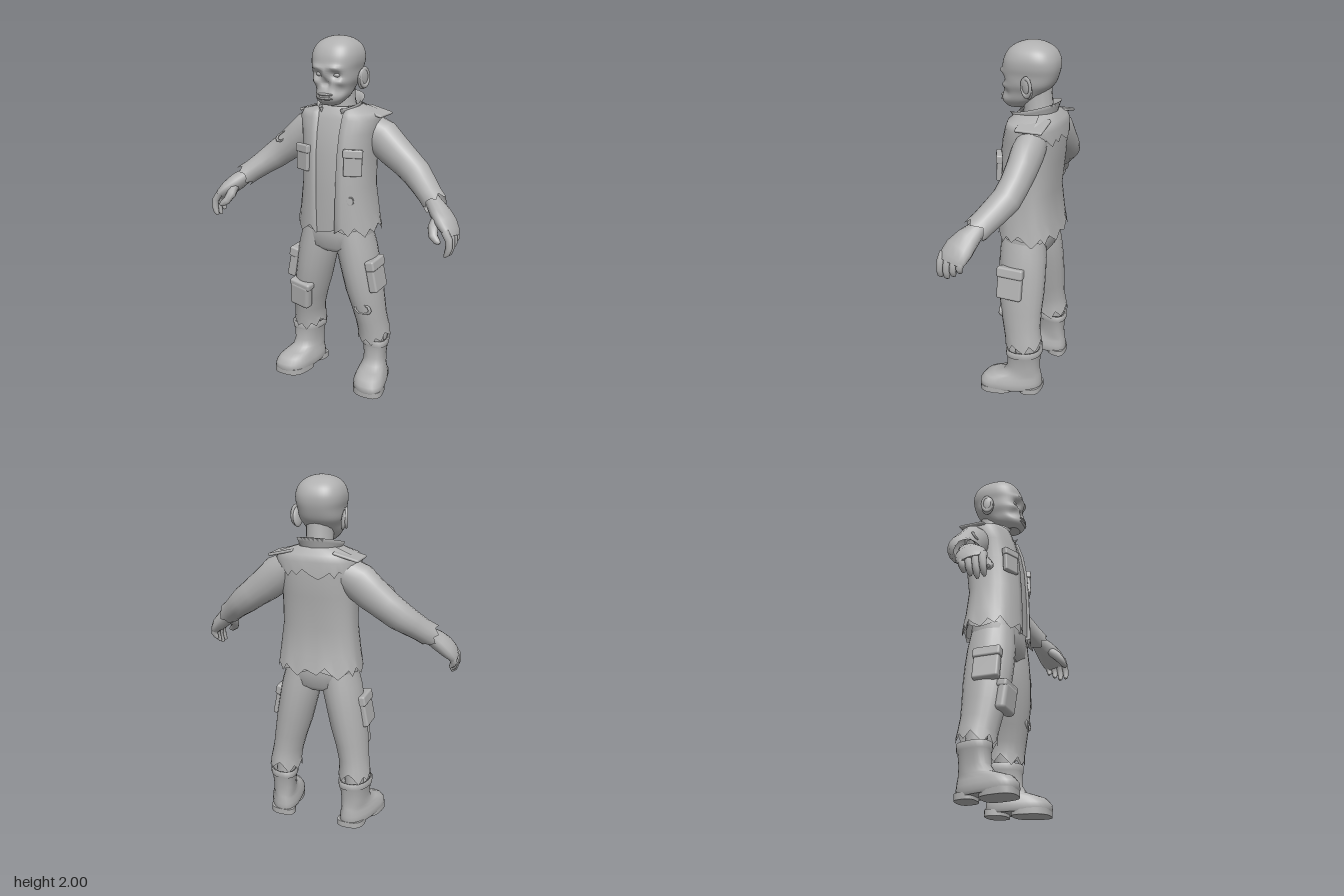
import * as THREE from 'three';
import { RoundedBoxGeometry } from 'three/addons/geometries/RoundedBoxGeometry.js';

const grey = new THREE.MeshStandardMaterial({ color: 0xb0b0b0, side: THREE.DoubleSide });
grey.name = 'plain grey';
const V = (x, y, z) => new THREE.Vector3(x, y, z);
const JAG = [0, 0.7, -0.3, 0.9, 0.2, -0.5, 0.6, -0.1, 1, 0.1, -0.6];

// horizontal cross-section: half width, front and back z, widest at zc
function ring(y, rx, zf, zb, o = {}) {
  const { zc = (zf + zb) / 2, p = 2.4, n = 28, gap = 0, from, to, jag = 0, tilt = 0, skew = 0 } = o;
  const g = gap ? Math.asin(Math.pow(gap / rx, p / 2)) : 0;
  const a0 = from ?? g, a1 = to ?? Math.PI * 2 - g, open = gap || from !== undefined;
  const pts = [];
  const pw = v => Math.sign(v) * Math.pow(Math.abs(v), 2 / p);
  for (let i = 0; i < n; i++) {
    const a = a0 + (a1 - a0) * i / (open ? n - 1 : n), c = pw(Math.cos(a));
    const z = zc + c * (c > 0 ? zf - zc : zc - zb);
    pts.push(V(rx * pw(Math.sin(a)) + skew * z, y + jag * JAG[i % JAG.length] - tilt * z, z));
  }
  if (gap) { // fold the free edges inwards
    const inset = q => V(q.x, q.y, q.z - 0.025);
    pts.unshift(inset(pts[0]));
    pts.push(inset(pts[pts.length - 1]));
  }
  return pts;
}

// skin a list of cross-sections
function loft(rings, { open = false, capA = false, capB = false } = {}) {
  const n = rings[0].length, pos = [], idx = [];
  rings.forEach(r => r.forEach(q => pos.push(q.x, q.y, q.z)));
  for (let i = 0; i < rings.length - 1; i++)
    for (let j = 0; j < (open ? n - 1 : n); j++) {
      const a = i * n + j, b = i * n + (j + 1) % n;
      idx.push(a, b, a + n, b, b + n, a + n);
    }
  const cap = (k, flip) => {
    const c = V(0, 0, 0), at = pos.length / 3;
    rings[k].forEach(q => c.addScaledVector(q, 1 / n));
    rings[k].forEach(q => pos.push(q.x, q.y, q.z));
    pos.push(c.x, c.y, c.z);
    for (let j = 0; j < n; j++) {
      const a = at + j, b = at + (j + 1) % n;
      idx.push(...(flip ? [b, a, at + n] : [a, b, at + n]));
    }
  };
  if (capA) cap(0, true);
  if (capB) cap(rings.length - 1, false);
  const g = new THREE.BufferGeometry();
  g.setAttribute('position', new THREE.Float32BufferAttribute(pos, 3));
  g.setIndex(idx);
  g.computeVertexNormals();
  return g;
}

// tapered limb through [x, y, z, radius across, radius in depth]
function limb(s, pts, { n = 14, jag = 0, capB = false } = {}) {
  const c = pts.map(q => V(s * q[0], q[1], q[2]));
  return loft(pts.map((q, i) => {
    const t = c[Math.min(i + 1, c.length - 1)].clone().sub(c[Math.max(i - 1, 0)]).normalize();
    const u = t.clone().cross(V(0, 0, 1)).normalize(), w = u.clone().cross(t);
    return Array.from({ length: n }, (_, j) => {
      const a = j / n * Math.PI * 2;
      const e = i === pts.length - 1 ? jag * JAG[j % JAG.length] : 0;
      return c[i].clone().addScaledVector(u, q[3] * Math.sin(a))
        .addScaledVector(w, (q[4] ?? q[3]) * Math.cos(a)).addScaledVector(t, e);
    });
  }), { capB });
}

// head: stacked sections with sockets and cheekbones pushed in or out
function headGeometry() {
  const prof = [[1.65, 0.045, 0.115, 0.02], [1.675, 0.072, 0.138, -0.02], [1.7, 0.088, 0.142, -0.06],
    [1.74, 0.1, 0.132, -0.105], [1.78, 0.116, 0.13, -0.14], [1.83, 0.122, 0.138, -0.16],
    [1.87, 0.13, 0.134, -0.168], [1.91, 0.129, 0.125, -0.165], [1.95, 0.113, 0.103, -0.145],
    [1.98, 0.08, 0.065, -0.105], [1.995, 0.042, 0.02, -0.06], [2, 0.01, -0.01, -0.03]];
  const A = new THREE.CatmullRomCurve3(prof.map(q => V(q[1], q[0], q[2])));
  const B = new THREE.CatmullRomCurve3(prof.map(q => V(q[3], q[0], 0)));
  const dents = [[0.052, 1.808, -0.03, 0.024, 0.018], [0, 1.762, -0.026, 0.015, 0.02], [0, 1.815, 0.012, 0.016, 0.03],
    [0.05, 1.845, 0.014, 0.035, 0.012], [0.078, 1.772, 0.014, 0.025, 0.016], [0.075, 1.725, -0.014, 0.02, 0.025]];
  const rings = [];
  for (let i = 0; i <= 44; i++) {
    const a = A.getPoint(i / 44), b = B.getPoint(i / 44);
    const r = ring(a.y, a.x, a.z, b.x, { n: 48, p: 2.5 });
    r.forEach(q => {
      if (q.z > 0) for (const [x, y, d, sx, sy] of dents)
        q.z += d * Math.exp(-(((Math.abs(q.x) - x) / sx) ** 2) - ((q.y - y) / sy) ** 2);
    });
    rings.push(r);
  }
  return loft(rings, { capA: true, capB: true });
}

export function createModel() {
  const root = new THREE.Group();
  root.name = 'figure';
  const add = (name, geo, pos = [0, 0, 0], rot = [0, 0, 0], scale = [1, 1, 1]) => {
    const m = new THREE.Mesh(geo, grey);
    m.name = name;
    m.position.set(...pos); m.rotation.set(...rot); m.scale.set(...scale);
    root.add(m);
  };
  const ball = new THREE.SphereGeometry(1, 16, 12);
  const box = (w, h, d, r = 0.008) => new RoundedBoxGeometry(w, h, d, 2, r);

  // head and neck
  add('head', headGeometry());
  add('neck', limb(1, [[0, 1.76, -0.045, 0.075, 0.08], [0, 1.66, -0.055, 0.073, 0.08], [0, 1.55, -0.06, 0.1, 0.09]]));
  for (const y of [1.687, 1.708]) add('lip', ball, [0, y, 0.136], [0, 0, 0], [0.046, 0.008, 0.016]);
  add('teeth', box(0.06, 0.012, 0.02, 0.003), [0, 1.698, 0.136]);

  // shirt and jacket
  const opt = { zc: -0.05, p: 2.5 };
  const torso = [[0.95, 0.24, 0.15, -0.2], [1.05, 0.225, 0.15, -0.182], [1.2, 0.206, 0.15, -0.166],
    [1.38, 0.205, 0.14, -0.188], [1.5, 0.218, 0.118, -0.194], [1.57, 0.232, 0.095, -0.19],
    [1.6, 0.215, 0.085, -0.182], [1.635, 0.11, 0.06, -0.15]];
  add('shirt', loft(torso.map(([y, x, f, b], i) =>
    ring(y, x - 0.02, f - 0.014, b + 0.02, { ...opt, jag: i ? 0 : 0.02 }))));
  add('jacket', loft(torso.map(([y, x, f, b], i) =>
    ring(y, x, f, b, { ...opt, n: 36, gap: 0.058 + 0.003 * i, jag: i ? 0 : 0.04 })), { open: true }));
  add('backYoke', loft([[1.5, 0.224, 0.12, -0.203], [1.57, 0.238, 0.1, -0.2], [1.605, 0.218, 0.085, -0.19],
    [1.64, 0.11, 0.06, -0.155]].map(([y, x, f, b], i) => ring(y, x, f, b,
    { ...opt, n: 19, from: Math.PI * 0.62, to: Math.PI * 1.38, jag: i ? 0 : 0.03 })), { open: true }));
  add('collar', loft([[1.585, 0.105, 0.075, -0.15], [1.64, 0.118, 0.09, -0.168], [1.66, 0.128, 0.1, -0.176],
    [1.64, 0.104, 0.08, -0.152], [1.6, 0.095, 0.07, -0.14]].map(([y, x, f, b]) =>
    ring(y - 0.01, x, f, b, { gap: 0.06, p: 2, tilt: 0.26 })), { open: true }));

  // torn rims on cloth
  const tear = new THREE.TorusGeometry(0.03, 0.007, 5, 9);
  add('chestTear', tear, [-0.165, 1.545, 0.035], [-0.35, -0.6, 0], [1, 0.6, 1]);
  add('jacketTear', tear, [0.14, 1.14, 0.112], [0, 0.5, 0.2], [0.6, 0.8, 1]);
  add('kneeTear', tear, [0.205, 0.5, 0.078], [0, 0.1, -0.1], [1.5, 1, 1.6]);
  add('sleeveTear', tear, [-0.37, 1.42, -0.02], [-0.5, 0, 0.65], [1.3, 0.8, 1]);
  add('sleeveTear', tear, [-0.31, 1.47, -0.05], [-0.9, 0, 0.65], [0.9, 0.8, 1]);

  for (const s of [1, -1]) {
    const side = s > 0 ? 'left' : 'right';
    add(side + 'Eye', ball, [s * 0.05, 1.808, 0.098], [0, 0, 0], [0.021, 0.013, 0.016]);
    add(side + 'Ear', ball, [s * 0.132, 1.778, -0.04], [0.15, s * -0.35, s * -0.12], [0.016, 0.058, 0.036]);
    add(side + 'EarLobe', new THREE.TorusGeometry(0.03, 0.009, 6, 14), [s * 0.142, 1.785, -0.042],
      [0, Math.PI / 2 - s * 0.35, 0], [0.95, 1.5, 1]);
    add(side + 'ShoulderPanel', box(0.145, 0.016, 0.15), [s * 0.182, 1.602, -0.095], [0, 0, s * -0.24]);
    add(side + 'ChestPocket', box(0.1, 0.12, 0.03), [s * 0.152, 1.34, 0.109], [-0.04, s * 0.42, 0]);
    add(side + 'ChestPocketFlap', box(0.108, 0.045, 0.035), [s * 0.152, 1.402, 0.109], [-0.08, s * 0.42, 0]);

    // sleeve and hand
    add(side + 'Sleeve', limb(s, [[0.15, 1.515, -0.085, 0.085, 0.08], [0.23, 1.465, -0.085, 0.103, 0.085],
      [0.3, 1.405, -0.082, 0.096, 0.08], [0.38, 1.345, -0.076, 0.085, 0.076], [0.45, 1.292, -0.062, 0.08, 0.077],
      [0.51, 1.245, -0.025, 0.07, 0.074], [0.56, 1.205, 0.008, 0.064, 0.07], [0.595, 1.178, 0.032, 0.065, 0.07]],
    { jag: 0.028, n: 16 }));
    add(side + 'Hand', limb(s, [[0.53, 1.225, -0.005, 0.04], [0.585, 1.18, 0.03, 0.042, 0.045],
      [0.635, 1.14, 0.062, 0.05, 0.065], [0.68, 1.1, 0.088, 0.046, 0.08], [0.712, 1.065, 0.105, 0.035, 0.078],
      [0.727, 1.04, 0.112, 0.022, 0.065]], { capB: true }));
    for (let k = 0; k < 4; k++) {
      const z = 0.055 + k * 0.036, d = [0.045, 0.02, 0, 0.005][k];
      add(side + 'Finger', limb(s, [[0.7, 1.08, z, 0.022], [0.726, 1.04, z + 0.006, 0.021],
        [0.731, 0.995 + d * 0.6, z + 0.01, 0.019], [0.722, 0.96 + d, z + 0.012, 0.016],
        [0.71, 0.943 + d, z + 0.012, 0.007]], { n: 8, capB: true }));
    }
    add(side + 'Thumb', limb(s, [[0.635, 1.125, 0.095, 0.03], [0.63, 1.08, 0.145, 0.028],
      [0.645, 1.045, 0.172, 0.024], [0.67, 1.025, 0.182, 0.018], [0.685, 1.018, 0.184, 0.008]], { n: 8, capB: true }));

    // trouser leg, shin and cargo pocket
    add(side + 'TrouserLeg', limb(s, [[0.1, 0.95, -0.01, 0.1, 0.125], [0.122, 0.83, -0.015, 0.112, 0.135],
      [0.145, 0.72, -0.018, 0.108, 0.137], [0.167, 0.61, -0.022, 0.104, 0.133], [0.19, 0.5, -0.03, 0.093, 0.12],
      [0.205, 0.41, -0.04, 0.086, 0.11], [0.213, 0.35, -0.05, 0.088, 0.107], [0.215, 0.31, -0.055, 0.094, 0.11]],
    { jag: 0.04, n: 20 }));
    add(side + 'Shin', limb(s, [[0.205, 0.45, -0.05, 0.06], [0.22, 0.2, -0.065, 0.055]]));
    add(side + 'CargoPocket', box(0.05, 0.16, 0.145, 0.012), [s * 0.255, 0.69, 0.01], [0, 0, s * 0.2]);
    add(side + 'CargoFlap', box(0.056, 0.06, 0.155, 0.012), [s * 0.245, 0.765, 0.01], [0, 0, s * 0.2]);

    // boot with toe turned out, plus sole and heel
    const boot = [[0.018, 0.088, 0.175, -0.155, 0.07], [0.035, 0.096, 0.188, -0.163, 0.07],
      [0.065, 0.094, 0.184, -0.16, 0.07], [0.095, 0.083, 0.16, -0.157, 0.05], [0.113, 0.074, 0.11, -0.153, 0],
      [0.13, 0.07, 0.055, -0.15, -0.05], [0.17, 0.068, 0.03, -0.147, -0.06], [0.24, 0.076, 0.028, -0.153, -0.06],
      [0.245, 0.083, 0.033, -0.16, -0.06], [0.283, 0.085, 0.035, -0.163, -0.06], [0.28, 0.07, 0.02, -0.145, -0.06],
      [0.22, 0.06, 0.01, -0.135, -0.06]];
    const place = [s * 0.237, 0, 0];
    add(side + 'Boot', loft(boot.map(([y, x, f, b, zc]) => ring(y, x, f, b, { zc, skew: s * 0.2 })), { capA: true }), place);
    const slab = (x, f, b) => loft([0, 0.035].map(y => ring(y, x, f, b, { skew: s * 0.2, p: 2.8 })), { capA: true, capB: true });
    add(side + 'Sole', slab(0.094, 0.182, -0.02), place);
    add(side + 'Heel', slab(0.075, -0.045, -0.164), place);
  }

  // hips and the bulging knee pocket
  add('hips', loft([[0.815, 0.09, 0.08, -0.1], [0.85, 0.195, 0.118, -0.14], [0.93, 0.21, 0.125, -0.152],
    [1.06, 0.195, 0.12, -0.15]].map(q => ring(...q)), { capA: true }));
  add('kneePocket', box(0.135, 0.15, 0.06, 0.022), [-0.19, 0.515, 0.095], [0.1, -0.15, -0.1]);
  add('kneePocketFlap', box(0.142, 0.045, 0.064, 0.015), [-0.182, 0.585, 0.098], [0.1, -0.15, -0.1]);
  return root;
}
